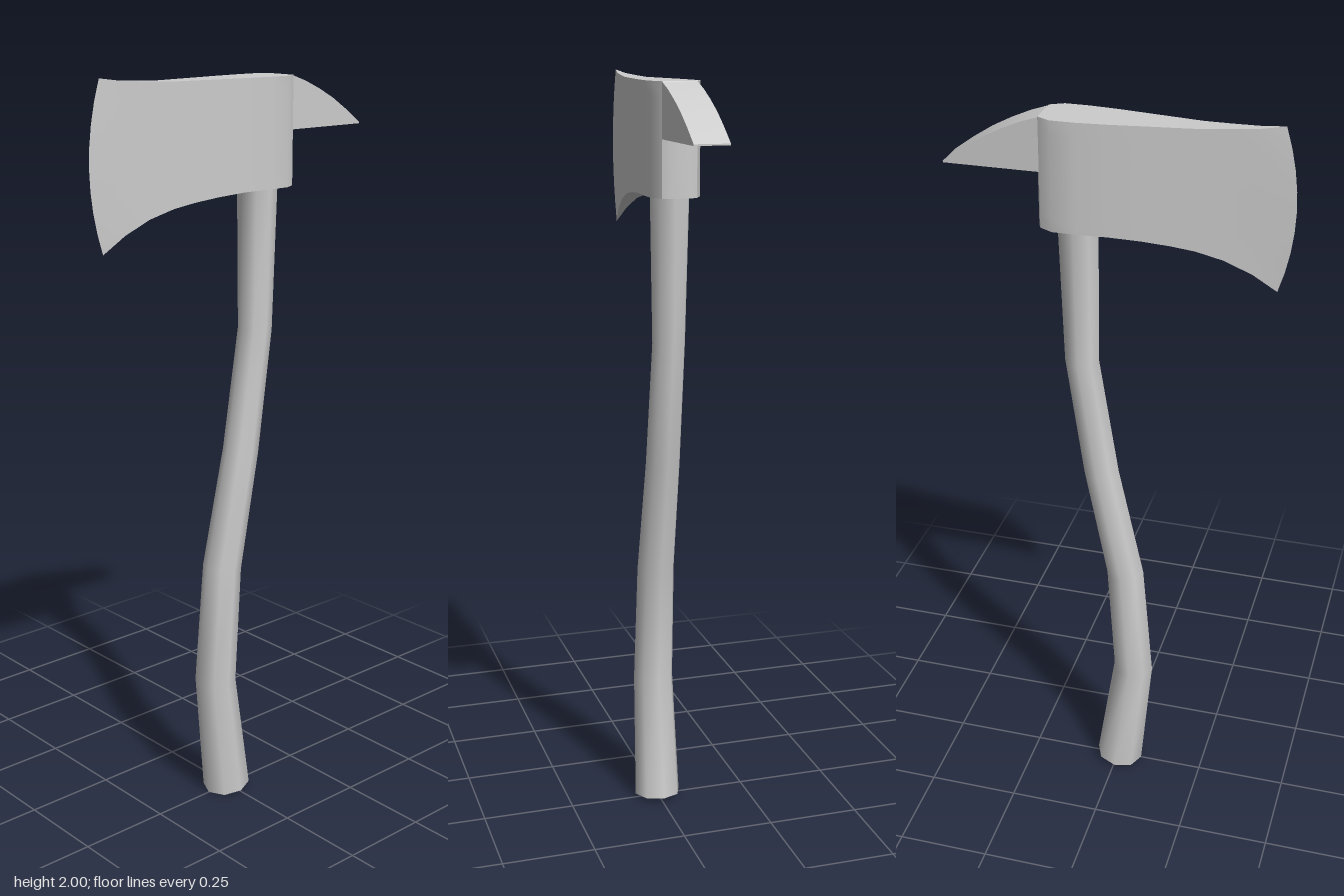
import * as THREE from 'three';
import { toCreasedNormals } from 'three/addons/utils/BufferGeometryUtils.js';

const material = new THREE.MeshStandardMaterial({ color: 0xcccccc });

// Skin a stack of closed rings; each ring runs clockwise seen from the stack's far end
function loft(rings, capEnd, crease) {
  const n = rings[0].length;
  const pos = rings.flat(2);
  const idx = [];
  for (let i = 0; i < rings.length - 1; i++) {
    for (let j = 0; j < n; j++) {
      const a = i * n + j, b = i * n + (j + 1) % n;
      idx.push(a, a + n, b, b, a + n, b + n);
    }
  }
  const cap = (i, flip) => {
    const c = pos.length / 3;
    for (let k = 0; k < 3; k++) pos.push(rings[i].reduce((s, p) => s + p[k], 0) / n);
    for (let j = 0; j < n; j++) {
      const a = i * n + j, b = i * n + (j + 1) % n;
      idx.push(c, flip ? b : a, flip ? a : b);
    }
  };
  cap(0, false);
  if (capEnd) cap(rings.length - 1, true);
  const g = new THREE.BufferGeometry();
  g.setAttribute('position', new THREE.Float32BufferAttribute(pos, 3));
  g.setIndex(idx);
  return toCreasedNormals(g.toNonIndexed(), crease);
}

// Upright slab section: up the -x side, down the +x side, optionally bowed forward
function slabRing([z, top, bottom, halfWidth, bow = 0], rows = 8) {
  const ring = [];
  for (const side of [-1, 1]) {
    for (let j = 0; j <= rows; j++) {
      const t = side < 0 ? j / rows : 1 - j / rows;
      const v = 2 * t - 1;
      ring.push([side * halfWidth, bottom + (top - bottom) * t, z + bow * (1 - v * v)]);
    }
  }
  return ring;
}

function part(name, geometry) {
  const mesh = new THREE.Mesh(geometry, material);
  mesh.name = name;
  return mesh;
}

export function createModel() {
  const group = new THREE.Group();
  group.name = 'axe';

  // Curved handle: y, z, radius across x, radius along z
  const spine = [
    [0.008, 0.005, 0.064, 0.066],
    [0.35, 0.045, 0.056, 0.056],
    [0.68, 0.02, 0.052, 0.052],
    [1.0, -0.047, 0.047, 0.048],
    [1.33, -0.097, 0.044, 0.046],
    [1.72, -0.103, 0.052, 0.053],
  ];
  const sides = 8;
  const handleRings = spine.map(([y, z, rx, rz], i) => {
    const p = spine[Math.max(i - 1, 0)], q = spine[Math.min(i + 1, spine.length - 1)];
    const lean = (q[1] - p[1]) / (q[0] - p[0]);
    return Array.from({ length: sides }, (_, j) => {
      const a = (j / sides) * Math.PI * 2;
      const dz = Math.sin(a) * rz;
      return [Math.cos(a) * rx, y - lean * dz, z + dz];
    });
  });
  group.add(part('handle', loft(handleRings, true, 0.9)));

  // Eye and blade: z, top, bottom, half width, bow of the cutting edge
  const bladeStations = [
    [-0.193, 1.97, 1.705, 0.028],
    [-0.185, 1.985, 1.705, 0.045],
    [-0.15, 1.985, 1.705, 0.064],
    [-0.09, 1.985, 1.705, 0.064],
    [-0.01, 1.985, 1.704, 0.057],
    [0.07, 1.985, 1.698, 0.046],
    [0.14, 1.985, 1.69, 0.037],
    [0.2, 1.985, 1.68, 0.029],
    [0.27, 1.988, 1.66, 0.02],
    [0.34, 1.992, 1.627, 0.011],
    [0.4, 2.0, 1.585, 0, 0.035],
  ];
  group.add(part('blade', loft(bladeStations.map((s) => slabRing(s)), false, 0.6)));

  // Rear pick, arched on top and flat underneath
  const pickStations = [
    [-0.43, 1.852, 1.848, 0.045],
    [-0.38, 1.888, 1.848, 0.045],
    [-0.33, 1.92, 1.848, 0.045],
    [-0.28, 1.946, 1.848, 0.045],
    [-0.23, 1.968, 1.848, 0.045],
    [-0.18, 1.985, 1.848, 0.045],
  ];
  group.add(part('pick', loft(pickStations.map((s) => slabRing(s, 1)), true, 0.6)));

  return group;
}
